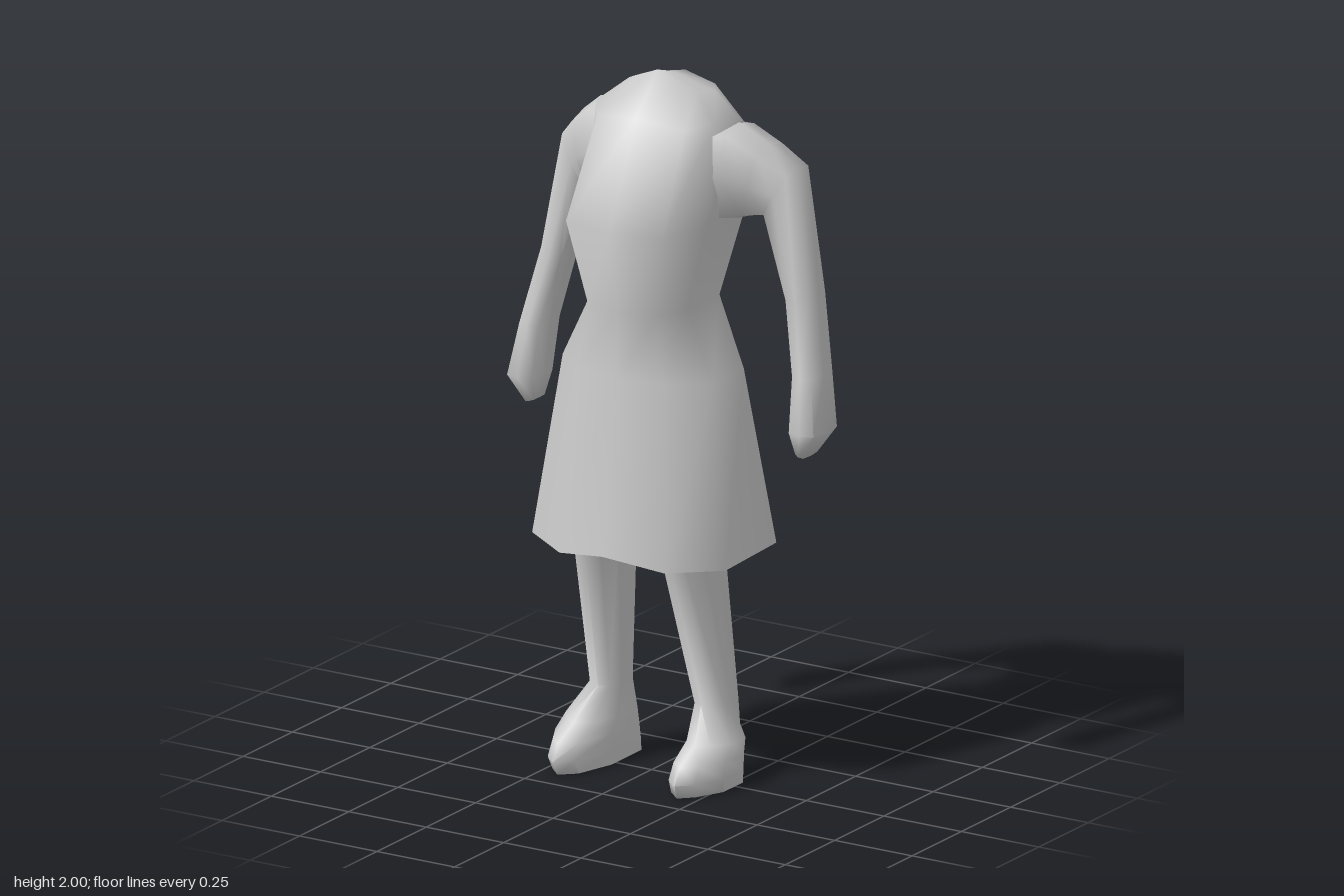
import * as THREE from 'three';
import { toCreasedNormals } from 'three/addons/utils/BufferGeometryUtils.js';

const material = new THREE.MeshStandardMaterial({ color: 0xcccccc });

// Closed skin over rings of [x, y, z] points; the lifts raise the centres of the two caps
function loft(name, rings, startLift = 0, endLift = 0) {
  const n = rings[0].length;
  const centre = (ring, lift) => [0, 1, 2].map(
    k => ring.reduce((s, p) => s + p[k], 0) / n + (k === 1 ? lift : 0));
  const points = [...rings.flat(), centre(rings[0], startLift), centre(rings[rings.length - 1], endLift)];
  const first = rings.length * n, last = first + 1, top = first - n;
  const index = [];
  for (let j = 0; j < n; j++) {
    const k = (j + 1) % n;
    for (let i = 0; i < rings.length - 1; i++) {
      const a = i * n + j, b = i * n + k;
      index.push(a, b, b + n, a, b + n, a + n);
    }
    index.push(first, k, j, last, top + j, top + k);
  }
  // Turn the faces outward whichever way the rings run
  const v = points.map(p => new THREE.Vector3(...p));
  let volume = 0;
  for (let i = 0; i < index.length; i += 3) {
    volume += v[index[i]].dot(v[index[i + 1]].clone().cross(v[index[i + 2]]));
  }
  if (volume < 0) index.reverse();
  const geometry = new THREE.BufferGeometry().setFromPoints(v);
  geometry.setIndex(index);
  const mesh = new THREE.Mesh(toCreasedNormals(geometry, 1.35), material);
  mesh.name = name;
  return mesh;
}

// Cross-section outlines as [inner to outer, back to front], each from 0 to 1
const ARM = Array.from({ length: 8 }, (_, i) => {
  const t = (i / 8) * Math.PI * 2;
  return [Math.cos(t), Math.sin(t)].map(v => 0.5 + Math.sign(v) * Math.abs(v) ** 0.5 / 2);
});
const LEG = [[0, 0], [1, 0], [1, 0.3], [1, 0.62], [0.78, 0.95], [0.45, 1], [0.12, 0.88], [0, 0.5]];
const FOOT = [[0, 0], [0.62, 0], [1, 0.3], [1, 0.62], [0.75, 0.88], [0.5, 1], [0.22, 0.87], [0, 0.5]];

// Fit an outline between an outer and an inner point, spanning zFront to zBack
const section = (outline, [ox, oy, ix, iy, zFront, zBack], side) => outline.map(([u, v]) => [
  side * (ix + (ox - ix) * u), iy + (oy - iy) * u, zBack + (zFront - zBack) * v]);

// Full ring from a half ring running from front centre to back centre
const mirrorRing = half =>
  [...half, ...half.slice(1, -1).reverse().map(([x, y, z]) => [-x, y, z])];

export function createModel() {
  const model = new THREE.Group();
  model.name = 'figure';

  // Dress from hem to neck
  const dress = [
    [[0, 0.68, 0.25], [0.17, 0.648, 0.2], [0.312, 0.658, 0.115],
      [0.314, 0.668, -0.14], [0.17, 0.69, -0.21], [0, 0.72, -0.25]],
    [[0, 1.17, 0.177], [0.14, 1.17, 0.155], [0.242, 1.17, 0.07],
      [0.244, 1.17, -0.085], [0.13, 1.17, -0.168], [0, 1.17, -0.188]],
    [[0, 1.36, 0.173], [0.11, 1.36, 0.15], [0.155, 1.36, 0.06],
      [0.16, 1.36, -0.09], [0.1, 1.36, -0.172], [0, 1.36, -0.192]],
    [[0, 1.6, 0.215], [0.155, 1.6, 0.19], [0.195, 1.6, 0.03],
      [0.22, 1.6, -0.12], [0.17, 1.63, -0.205], [0, 1.66, -0.23]],
    [[0, 1.89, 0.08], [0.14, 1.87, 0.055], [0.19, 1.88, -0.02],
      [0.225, 1.865, -0.11], [0.19, 1.85, -0.167], [0, 1.84, -0.2]],
    [[0, 2, -0.03], [0.06, 1.975, -0.035], [0.11, 1.95, -0.06],
      [0.13, 1.935, -0.12], [0.1, 1.94, -0.165], [0, 1.96, -0.172]],
  ];
  model.add(loft('dress', dress.map(mirrorRing), 0.14, 0.022));

  for (const side of [1, -1]) {
    const label = side > 0 ? 'left' : 'right';

    // Arm from inside the chest to the fingertips; the right one sits slightly further in and back
    const inset = side > 0 ? 0 : 0.035;
    const back = inset / 2;
    const arm = [
      [0.1, 1.87, 0.09, 1.59, 0.04, -0.17],
      [0.225, 1.868, 0.205, 1.59, -0.01, -0.185],
      [0.3, 1.81, 0.25, 1.6 - inset / 2, -0.05, -0.213],
      [0.385 - inset, 1.755, 0.3 - inset, 1.61 - inset, -0.075, -0.212],
      [0.445 - inset / 2, 1.4, 0.36 - inset / 4, 1.38, -0.095, -0.2],
      [0.477, 1.18, 0.403, 1.18, -0.06, -0.187],
      [0.507, 1.03, 0.412, 1.03, -0.025 - back, -0.167],
      [0.455, 0.955, 0.425, 0.965, -0.05 - back, -0.135],
    ];
    model.add(loft(label + 'Arm', arm.map(r => section(ARM, r, side))));

    // Leg and foot from the sole up into the skirt
    const foot = [
      [0.27, 0.0, 0.115, 0.0, 0.175, -0.13],
      [0.277, 0.04, 0.116, 0.04, 0.193, -0.128],
      [0.275, 0.085, 0.118, 0.085, 0.165, -0.123],
      [0.268, 0.125, 0.12, 0.125, 0.09, -0.118],
    ];
    const leg = [
      [0.215, 0.215, 0.126, 0.215, 0.01, -0.103],
      [0.2, 0.68, 0.082, 0.68, 0.135, -0.056],
      [0.196, 0.8, 0.07, 0.8, 0.165, -0.045],
    ];
    model.add(loft(label + 'Leg', [
      ...foot.map(r => section(FOOT, r, side)),
      ...leg.map(r => section(LEG, r, side)),
    ]));
  }
  return model;
}
